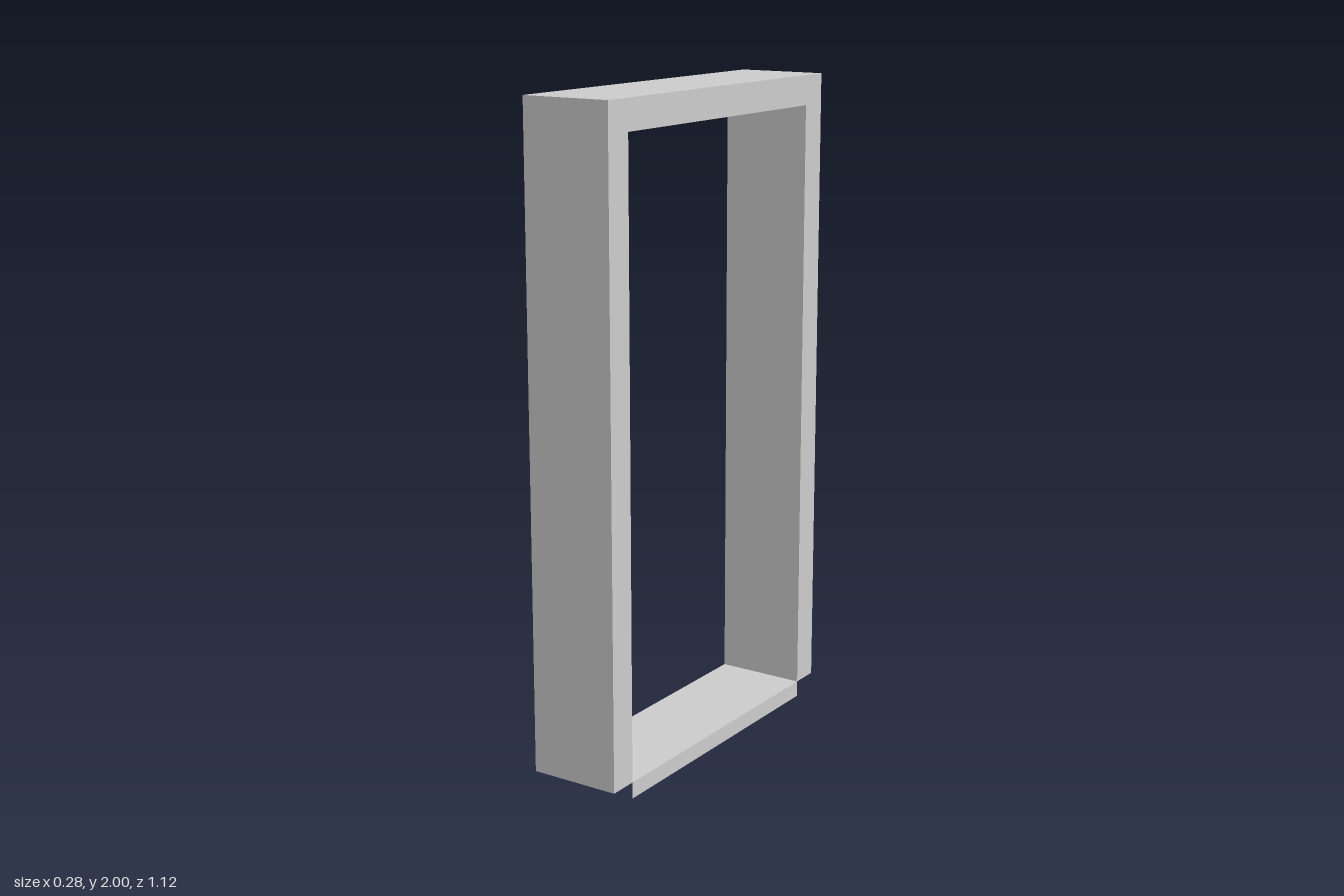
import * as THREE from 'three';

const material = new THREE.MeshStandardMaterial({ color: 0xcccccc, flatShading: true, side: THREE.DoubleSide });

const HALF_W = 0.14;   // half depth across x
const OUT = 0.558;     // outer half span along z
const IN = 0.467;      // opening half span along z
const BASE = 0.05;     // sill height, underside of the posts
const TOP = 2, HEAD = 1.91;

// Open sheet: sweeps a [z, y] path straight across x from +half to -half.
function sheet(path, half) {
  const pos = [];
  for (let i = 0; i < path.length - 1; i++) {
    const [az, ay] = path[i], [bz, by] = path[i + 1];
    pos.push(half, ay, az, half, by, bz, -half, by, bz);
    pos.push(half, ay, az, -half, by, bz, -half, ay, az);
  }
  const geometry = new THREE.BufferGeometry();
  geometry.setAttribute('position', new THREE.Float32BufferAttribute(pos, 3));
  geometry.computeVertexNormals();
  return geometry;
}

function add(parent, name, geometry) {
  const mesh = new THREE.Mesh(geometry, material);
  mesh.name = name;
  parent.add(mesh);
  return mesh;
}

export function createModel() {
  const model = new THREE.Group();
  model.name = 'doorFrame';

  // Jambs and head: outer and inner walls, open at the foot
  const frame = new THREE.Group();
  frame.name = 'jambsAndHead';
  model.add(frame);
  const outer = [[OUT, BASE], [OUT, TOP], [-OUT, TOP], [-OUT, BASE]];
  const inner = [[-IN, BASE], [-IN, HEAD], [IN, HEAD], [IN, BASE]];
  add(frame, 'outerWalls', sheet(outer, HALF_W));
  add(frame, 'innerLining', sheet(inner, HALF_W));

  // Flat U-shaped faces on both sides
  const outline = new THREE.Shape([...outer, ...inner].map(([z, y]) => new THREE.Vector2(z, y)));
  for (const side of [1, -1]) {
    const face = add(frame, side > 0 ? 'leftFace' : 'rightFace', new THREE.ShapeGeometry(outline));
    face.rotation.y = side * Math.PI / 2;
    face.position.x = side * HALF_W;
  }

  // Sill: a channel with a top and two skirts, open below and at the ends
  const sill = [[HALF_W, 0], [HALF_W, BASE], [-HALF_W, BASE], [-HALF_W, 0]];
  add(model, 'sill', sheet(sill, IN).rotateY(Math.PI / 2));

  return model;
}
